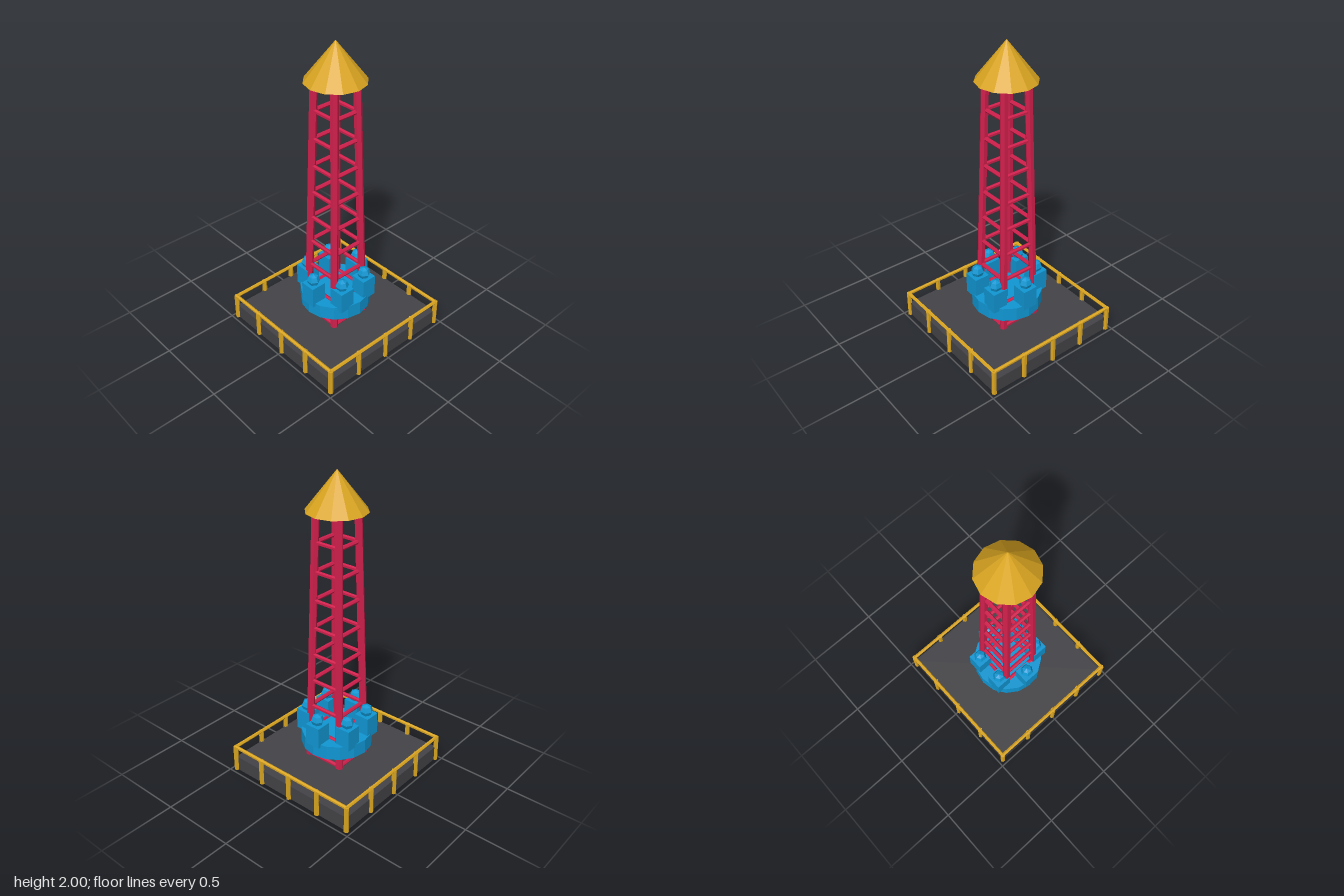
import * as THREE from 'three';

const material = (name, color) => {
  const m = new THREE.MeshStandardMaterial({ color, flatShading: true });
  m.name = name;
  return m;
};

export function createModel() {
  const gold = material('gold', 0xdaa520);
  const red = material('crimson', 0xd01f4c);
  const blue = material('blue', 0x1096d2);
  const dark = material('charcoal', 0x434246);
  const model = new THREE.Group();
  model.name = 'dropTowerRide';

  const group = (name) => {
    const g = new THREE.Group();
    g.name = name;
    model.add(g);
    return g;
  };
  const add = (parent, name, geometry, mat, x = 0, y = 0, z = 0) => {
    const mesh = new THREE.Mesh(geometry, mat);
    mesh.name = name;
    mesh.position.set(x, y, z);
    parent.add(mesh);
    return mesh;
  };
  // Six-sided bar between two points
  const bar = (parent, name, a, b, radius, mat) => {
    const from = new THREE.Vector3(...a), dir = new THREE.Vector3(...b).sub(from);
    const mesh = add(parent, name, new THREE.CylinderGeometry(radius, radius, dir.length(), 6), mat);
    mesh.position.copy(from).addScaledVector(dir, 0.5);
    mesh.quaternion.setFromUnitVectors(new THREE.Vector3(0, 1, 0), dir.normalize());
  };

  // Platform
  add(model, 'platform', new THREE.BoxGeometry(0.934, 0.1, 0.934), dark, 0, 0.05, 0);

  const corners = [[1, 1], [1, -1], [-1, -1], [-1, 1]];

  // Fence: four posts and one rail per side
  const fence = group('fence');
  const f = 0.468;
  corners.forEach(([x, z], i) => {
    const [nx, nz] = corners[(i + 1) % 4];
    bar(fence, 'fenceRail', [x * f, 0.176, z * f], [nx * f, 0.176, nz * f], 0.012, gold);
    for (let k = 0; k < 4; k++) {
      const t = k / 4;
      const px = f * (x + (nx - x) * t), pz = f * (z + (nz - z) * t);
      bar(fence, 'fencePost', [px, 0, pz], [px, 0.18, pz], 0.0168, gold);
    }
  });

  // Lattice tower: four leaning legs tied by square rings of rungs
  const tower = group('tower');
  const y0 = 0.1, y1 = 1.765;
  const spread = (y) => THREE.MathUtils.mapLinear(y, y0, y1, 0.127, 0.086);
  corners.forEach(([x, z], i) => {
    const [nx, nz] = corners[(i + 1) % 4];
    const a = spread(y0), b = spread(y1);
    bar(tower, 'towerLeg', [x * a, y0, z * a], [x * b, y1, z * b], 0.025, red);
    for (let k = 0; k < 9; k++) {
      const y = 0.11 + k * 0.183, s = spread(y);
      bar(tower, 'towerRung', [x * s, y, z * s], [nx * s, y, nz * s], 0.0135, red);
    }
  });

  // Roof cone
  add(model, 'roof', new THREE.ConeGeometry(0.188, 0.24, 12), gold, 0, 1.88, 0);

  // Carriage with six seats, each with a rounded headrest
  const carriage = group('carriage');
  add(carriage, 'carriageRing', new THREE.CylinderGeometry(0.232, 0.232, 0.096, 16), blue, 0, 0.248, 0);
  for (let i = 0; i < 6; i++) {
    const angle = i * Math.PI / 3;
    const x = 0.19 * Math.cos(angle), z = 0.19 * Math.sin(angle);
    add(carriage, 'seat', new THREE.BoxGeometry(0.103, 0.143, 0.103), blue, x, 0.348, z);
    const head = add(carriage, 'headrest', new THREE.SphereGeometry(0.044, 6, 4), blue, x, 0.445, z);
    head.rotation.y = Math.PI / 6;
  }
  return model;
}
